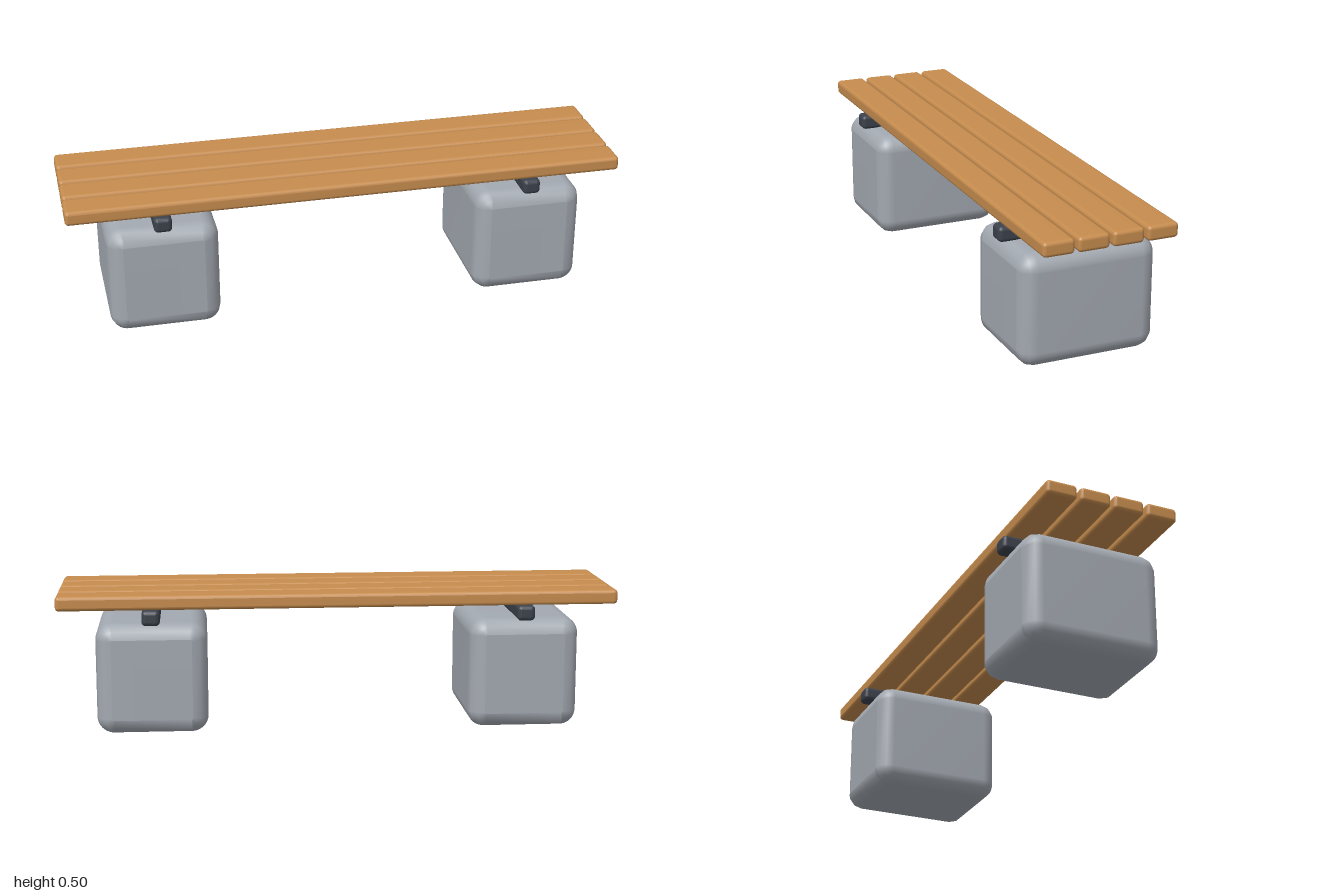
import * as THREE from 'three';
import { mergeVertices } from 'three/addons/utils/BufferGeometryUtils.js';

// Smooth block with softened edges: rounded profile in xy, three-step bevel along z
function softBlock(w, h, d, r) {
  const c = r * 0.1;
  const x = w / 2 - r, y = h / 2 - r;
  const s = new THREE.Shape();
  s.absarc(x - c, y - c, c, 0, Math.PI / 2);
  s.absarc(-x + c, y - c, c, Math.PI / 2, Math.PI);
  s.absarc(-x + c, -y + c, c, Math.PI, Math.PI * 1.5);
  s.absarc(x - c, -y + c, c, Math.PI * 1.5, Math.PI * 2);
  const geo = new THREE.ExtrudeGeometry(s, {
    depth: d - 2 * r, bevelThickness: r, bevelSize: r, bevelSegments: 3, curveSegments: 6,
  });
  geo.translate(0, 0, r - d / 2);
  geo.deleteAttribute('uv');
  geo.deleteAttribute('normal');
  const smooth = mergeVertices(geo, 1e-5);
  smooth.computeVertexNormals();
  return smooth;
}

function createModel() {
  const material = (name, color) => {
    const m = new THREE.MeshStandardMaterial({ color });
    m.name = name;
    return m;
  };
  const wood = material('wood', 0xc68c4e);
  const concrete = material('concrete', 0xa3a9b1);
  const metal = material('dark metal', 0x3c424c);

  const bench = new THREE.Group();
  bench.name = 'bench';
  const add = (name, geo, mat, x, y, z) => {
    const mesh = new THREE.Mesh(geo, mat);
    mesh.name = name;
    mesh.position.set(x, y, z);
    bench.add(mesh);
  };

  // Concrete feet, each with a cross bar on top
  const footGeo = softBlock(0.396, 0.4, 0.488, 0.055);
  const barGeo = softBlock(0.064, 0.055, 0.512, 0.014);
  for (const [side, sign] of [['left', 1], ['right', -1]]) {
    add(side + 'Foot', footGeo, concrete, sign * 0.667, 0.2, 0);
    add(side + 'CrossBar', barGeo, metal, sign * 0.667, 0.4235, 0);
  }

  // Four seat slats
  const slatGeo = softBlock(2, 0.052, 0.11, 0.012);
  for (let i = 0; i < 4; i++) {
    add('seatSlat' + (i + 1), slatGeo, wood, 0, 0.476, (1.5 - i) * 0.1225);
  }
  return bench;
}

export { createModel };
